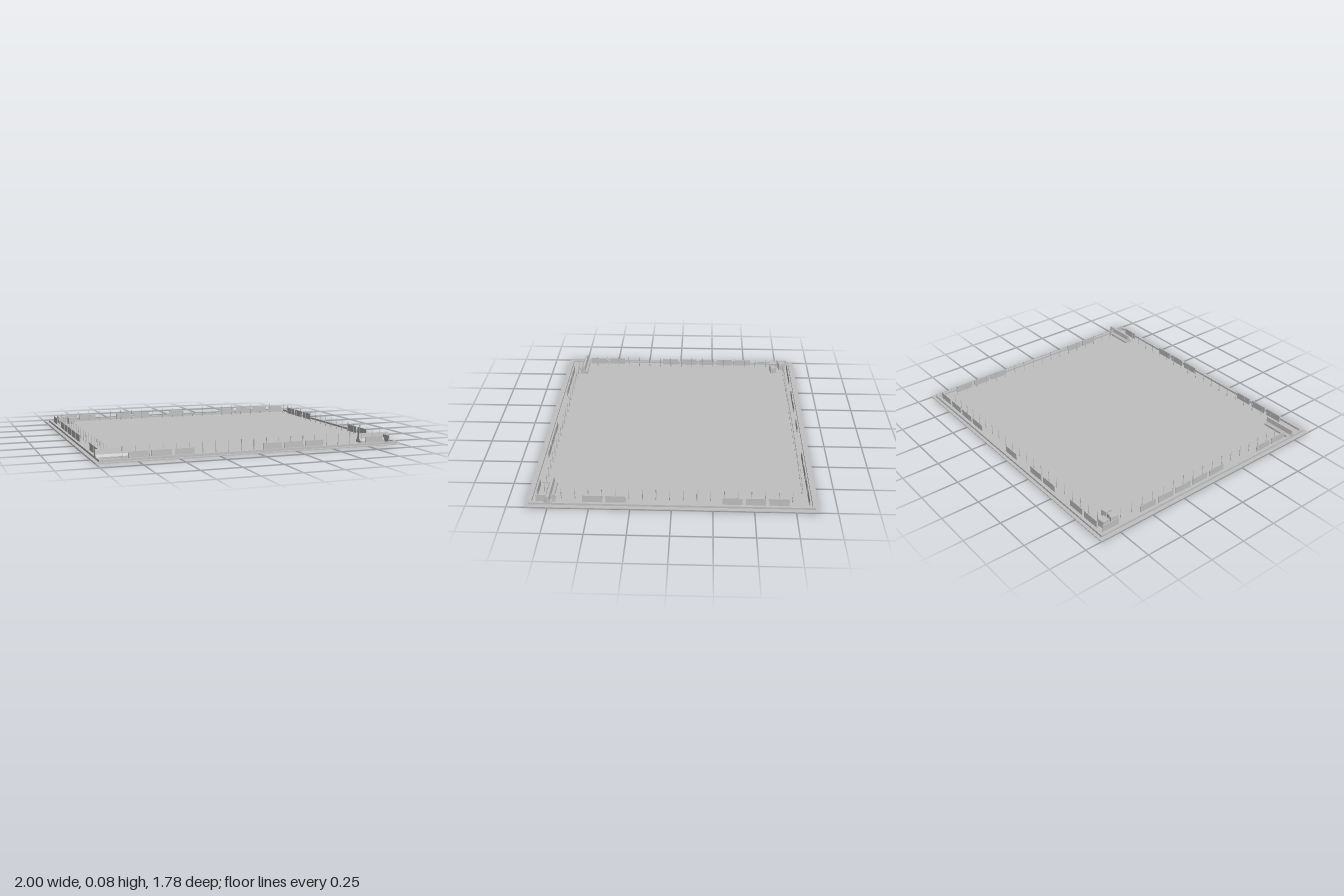
import * as THREE from 'three';

const grey = new THREE.MeshStandardMaterial({ color: 0xc0c0c0 });
grey.name = 'concrete grey';

const FLOOR = 0.005;

function box(parent, name, w, h, d, x, y, z) {
  const m = new THREE.Mesh(new THREE.BoxGeometry(w, h, d), grey);
  m.name = name;
  m.position.set(x, y + h / 2, z);
  parent.add(m);
  return m;
}

function group(parent, name) {
  const g = new THREE.Group();
  g.name = name;
  parent.add(g);
  return g;
}

export function createModel() {
  const model = new THREE.Group();
  model.name = 'walledYard';

  // Ground slab
  box(model, 'groundSlab', 2, FLOOR, 1.78, 0, 0, 0);

  // Low kerb around the edge
  const kerb = group(model, 'kerb');
  for (const s of [-1, 1]) {
    box(kerb, 'kerbLong', 1.95, 0.013, 0.016, 0, FLOOR, s * 0.86);
    box(kerb, 'kerbShort', 0.016, 0.013, 1.704, s * 0.967, FLOOR, 0);
  }

  // Broken runs of wall panels: centres along each side
  const walls = group(model, 'wallPanels');
  const PITCH = 0.142, LEN = 0.121, TALL = 0.046, THIN = 0.005;
  for (const i of [0, 1, 3, 4, 6, 9, 10, 11, 12])
    box(walls, 'backPanel', LEN, TALL, THIN, -0.829 + i * PITCH, FLOOR, -0.835);
  for (const i of [0, 1, 2, 6, 7, 8, 11])
    box(walls, 'frontPanel', LEN, TALL, THIN, -0.735 + i * PITCH, FLOOR, 0.828);
  for (const i of [0, 2, 3, 4, 5, 6, 9, 10])
    box(walls, 'rightPanel', THIN, TALL, LEN, -0.94, FLOOR, -0.773 + i * PITCH);
  for (const i of [0, 1, 2, 7, 8, 10])
    box(walls, 'leftPanel', THIN, TALL, LEN, 0.937, FLOOR, -0.652 + i * PITCH);

  // Thin posts with small feet, inside the walls
  const posts = group(model, 'posts');
  const rod = new THREE.CylinderGeometry(0.0018, 0.0018, 0.073, 6);
  const foot = new THREE.CylinderGeometry(0.003, 0.003, 0.018, 6);
  const post = (x, z) => {
    const a = new THREE.Mesh(rod, grey);
    a.name = 'postRod';
    a.position.set(x, FLOOR + 0.0365, z);
    const b = new THREE.Mesh(foot, grey);
    b.name = 'postFoot';
    b.position.set(x, FLOOR + 0.009, z);
    posts.add(a, b);
  };
  const STEP = 0.083;
  for (let k = -10; k <= 10; k++) {
    post(k * STEP + 0.008, 0.79);
    post(k * STEP - 0.019, -0.8);
  }
  for (let k = -9; k <= 9; k++) {
    post(0.904, k * STEP + 0.013);
    post(-0.904, k * STEP - 0.006);
  }

  // Two road barriers with flared feet at the front corners
  const half = [[0.027, 0], [0.027, 0.012], [0.012, 0.026], [0.008, 0.057]];
  const outline = [...half, ...half.slice().reverse().map(([x, y]) => [-x, y])];
  const profile = new THREE.Shape(outline.map(([x, y]) => new THREE.Vector2(x, y)));
  const barrierGeo = new THREE.ExtrudeGeometry(profile, { depth: 0.22, bevelEnabled: false });
  barrierGeo.translate(0, 0, -0.11).rotateY(Math.PI / 2);
  for (const s of [-1, 1]) {
    const b = new THREE.Mesh(barrierGeo, grey);
    b.name = s > 0 ? 'leftBarrier' : 'rightBarrier';
    b.position.set(s * 0.865, FLOOR, 0.749);
    model.add(b);
  }

  // Crates in the back corner
  const crates = group(model, 'crates');
  for (const [x, z, size, turn] of [
    [-0.898, -0.793, 0.048, 0.1],
    [-0.898, -0.726, 0.05, -0.15],
    [-0.834, -0.724, 0.044, 0.12],
  ]) box(crates, 'crate', size, size, size, x, FLOOR, z).rotation.y = turn;

  return model;
}
